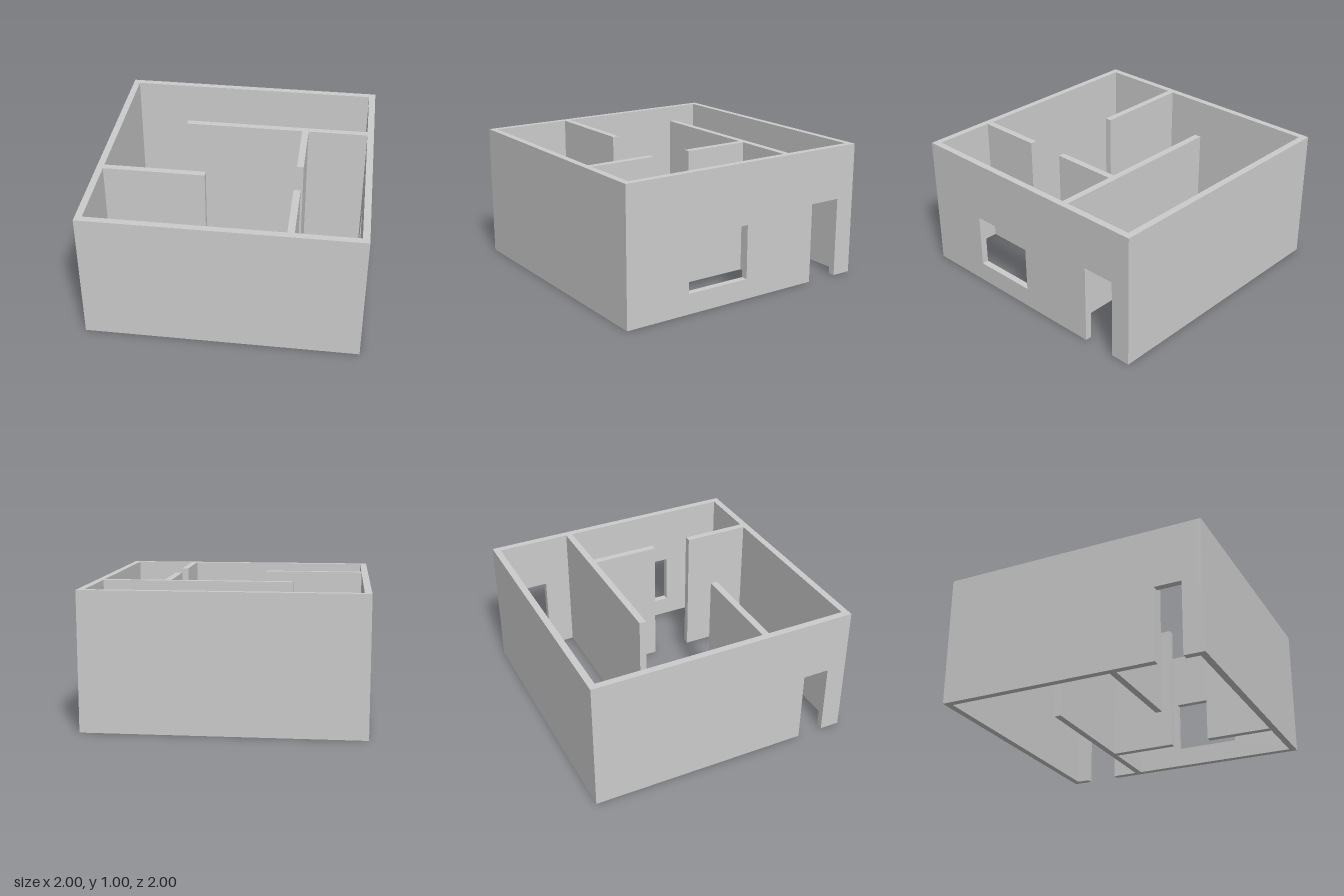
import * as THREE from 'three';

const HEIGHT = 1;
const T = 0.05; // wall thickness
const INNER = 1 - T;

const material = new THREE.MeshStandardMaterial({ color: 0xcccccc, flatShading: true });

// Full-height straight wall covering a rectangle of the floor plan
function planWall(name, x0, x1, z0, z1) {
  const geometry = new THREE.BoxGeometry(x1 - x0, HEIGHT, z1 - z0);
  geometry.translate((x0 + x1) / 2, HEIGHT / 2, (z0 + z1) / 2);
  const mesh = new THREE.Mesh(geometry, material);
  mesh.name = name;
  return mesh;
}

// Side wall drawn in (z, y), with a doorway notch and an optional window hole
function sideWall(name, outerX, door, win) {
  const shape = new THREE.Shape([
    [-INNER, 0], [door.z0, 0], [door.z0, door.top], [door.z1, door.top],
    [door.z1, 0], [INNER, 0], [INNER, HEIGHT], [-INNER, HEIGHT],
  ].map(([z, y]) => new THREE.Vector2(z, y)));
  if (win) {
    shape.holes.push(new THREE.Path([
      [win.z0, win.y0], [win.z0, win.y1], [win.z1, win.y1], [win.z1, win.y0],
    ].map(([z, y]) => new THREE.Vector2(z, y))));
  }
  const geometry = new THREE.ExtrudeGeometry(shape, { depth: T, bevelEnabled: false });
  geometry.rotateY(-Math.PI / 2); // shape x becomes z, depth runs towards -x
  geometry.translate(outerX, 0, 0);
  const mesh = new THREE.Mesh(geometry, material);
  mesh.name = name;
  return mesh;
}

export function createModel() {
  const house = new THREE.Group();
  house.name = 'house';

  // Outer walls
  house.add(
    planWall('frontWall', -1, 1, INNER, 1),
    planWall('backWall', -1, 1, -1, -INNER),
    sideWall('leftWall', 1,
      { z0: -0.85, z1: -0.6, top: 0.6 },
      { z0: 0, z1: 0.5, y0: 0.15, y1: 0.55 }),
    sideWall('rightWall', -INNER, { z0: 0.65, z1: 0.85, top: 0.55 }),
  );

  // Inner partitions
  house.add(
    planWall('backPartition', -0.45, INNER, -0.4, -0.35),
    planWall('innerBackPartition', 0.45, 0.5, -0.35, 0.15),
    planWall('innerFrontPartition', 0.45, 0.5, 0.45, INNER),
    planWall('rightPartition', -INNER, -0.2, 0.3, 0.35),
  );

  return house;
}
